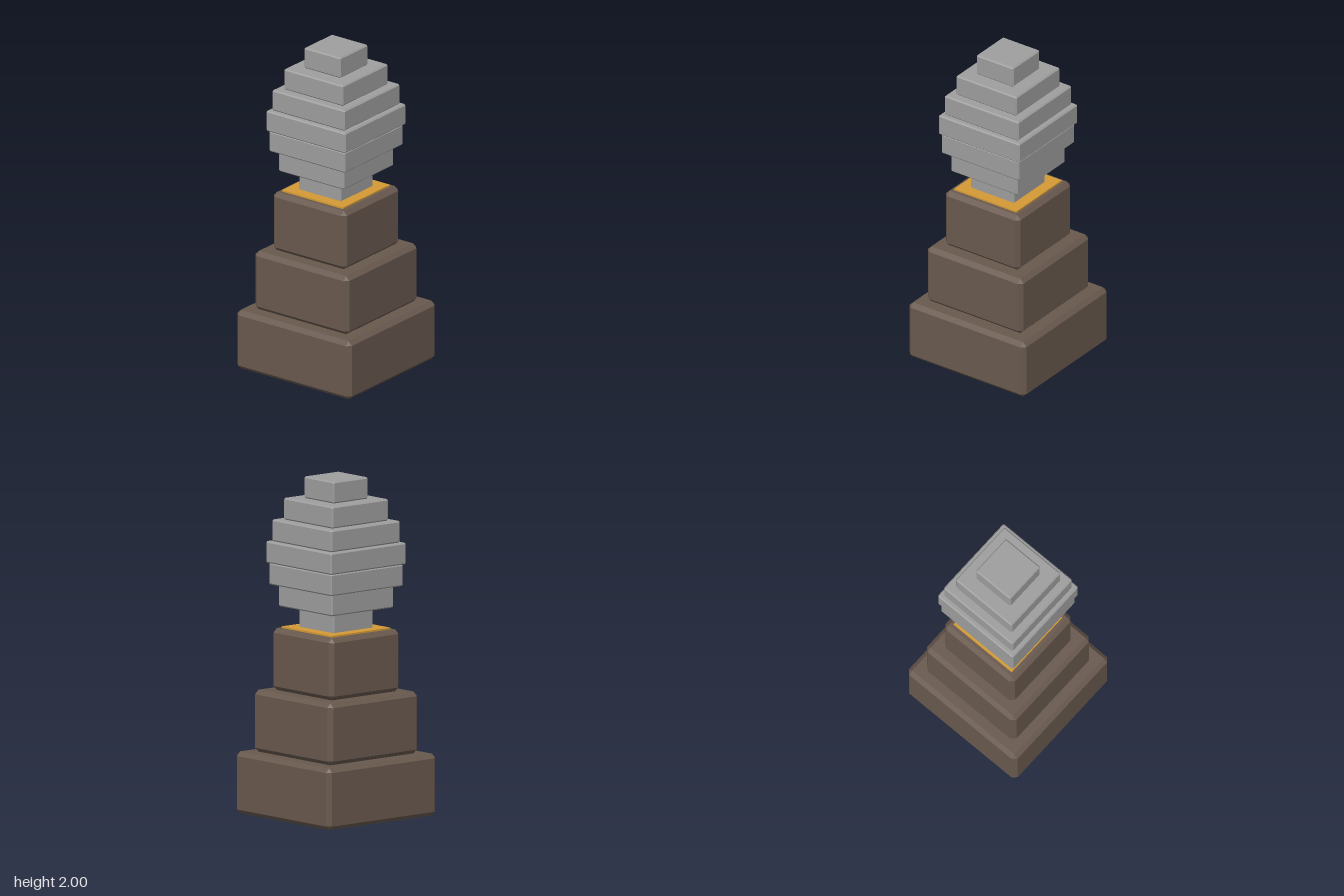
import * as THREE from 'three';
import { ConvexGeometry } from 'three/addons/geometries/ConvexGeometry.js';

// Square block with every edge and corner cut flat by c
function bevelledBlock(half, height, c) {
  const h = height / 2, points = [];
  for (const x of [-1, 1]) for (const y of [-1, 1]) for (const z of [-1, 1]) {
    points.push(
      new THREE.Vector3(x * half, y * (h - c), z * (half - c)),
      new THREE.Vector3(x * (half - c), y * h, z * (half - c)),
      new THREE.Vector3(x * (half - c), y * (h - c), z * half));
  }
  return new ConvexGeometry(points);
}

export function createModel() {
  const brown = new THREE.MeshStandardMaterial({ color: 0x69594e });
  const grey = new THREE.MeshStandardMaterial({ color: 0x9e9e9e });
  const gold = new THREE.MeshStandardMaterial({ color: 0xd49a35 });
  brown.name = 'brownStone';
  grey.name = 'greyStone';
  gold.name = 'goldTrim';

  const model = new THREE.Group();
  model.name = 'steppedMonument';
  const add = (name, geometry, material, y) => {
    const mesh = new THREE.Mesh(geometry, material);
    mesh.name = name;
    mesh.position.y = y;
    model.add(mesh);
  };

  // Three-step pedestal
  const tier = 1.1 / 3;
  [0.422, 0.346, 0.27].forEach((half, i) =>
    add(`pedestalTier${i + 1}`, bevelledBlock(half, tier, 0.025), brown, tier * (i + 0.5)));

  // Thin gold plate on the pedestal
  add('goldPlate', new THREE.BoxGeometry(0.45, 0.02, 0.45), gold, 1.1);

  // Egg-shaped stack of seven slabs
  const slab = 0.9 / 7;
  [0.155, 0.24, 0.28, 0.292, 0.267, 0.218, 0.134].forEach((half, i) =>
    add(`eggSlab${i + 1}`, bevelledBlock(half, slab, 0.008), grey, 1.1 + slab * (i + 0.5)));

  return model;
}
